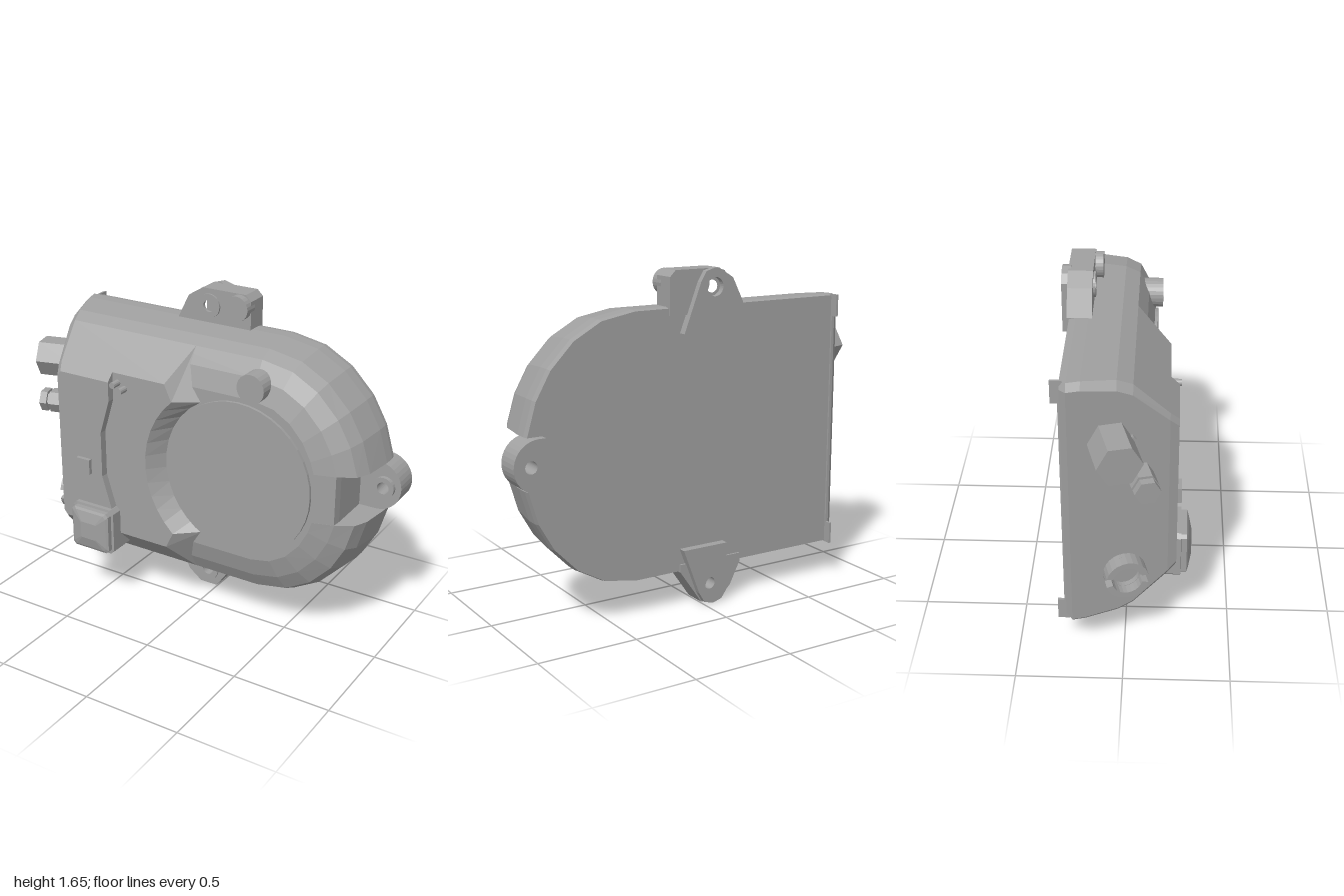
import * as THREE from 'three';

const grey = new THREE.MeshStandardMaterial({ color: 0xa0a0a0, flatShading: true });
grey.name = 'grey casting';
const CY = 0.83; // height of the horizontal axis of symmetry

// Skin stacked loops (listed clockwise seen from +z, back to front) and cap both ends
function loft(loops) {
  const n = loops[0].length, pos = [], idx = [];
  loops.forEach(l => l.forEach(p => pos.push(...p)));
  for (let k = 0; k < loops.length - 1; k++) {
    for (let i = 0; i < n; i++) {
      const a = k * n + i, b = k * n + (i + 1) % n;
      idx.push(a, a + n, b + n, a, b + n, b);
    }
  }
  [[0, -1], [loops.length - 1, 1]].forEach(([k, dir]) => {
    const pts = loops[k].map(p => new THREE.Vector2(p[0], p[1]));
    THREE.ShapeUtils.triangulateShape(pts, []).forEach(([a, b, c]) => {
      const area = (pts[b].x - pts[a].x) * (pts[c].y - pts[a].y) - (pts[b].y - pts[a].y) * (pts[c].x - pts[a].x);
      const t = area * dir > 0 ? [a, b, c] : [a, c, b];
      idx.push(...t.map(i => i + k * n));
    });
  });
  const g = new THREE.BufferGeometry();
  g.setAttribute('position', new THREE.Float32BufferAttribute(pos, 3));
  g.setIndex(idx);
  const flat = g.toNonIndexed();
  flat.computeVertexNormals();
  return flat;
}

// Adds the lower half of a loop by mirroring its upper half about the axis
const mirrorLoop = half => [...half, ...half.slice().reverse().map(([x, y, z]) => [x, 2 * CY - y, z])];

// D-shaped outline: straight left end, elliptic right end with a notch at the tip
function dLoop(z, inset, left, chamfer, notch) {
  const a = 0.57 - inset, b = 0.65 - inset;
  const half = [[left, CY + b - chamfer, z], [left + chamfer, CY + b, z]];
  [90, 72, 56, 40, 26].forEach(d => {
    const t = THREE.MathUtils.degToRad(d);
    half.push([0.36 + a * Math.cos(t), CY + b * Math.sin(t), z]);
  });
  const tip = 0.36 + a * Math.cos(Math.asin(0.125 / b));
  half.push([tip, CY + 0.125, z], [Math.min(notch, tip - 0.002), CY + 0.125, z]);
  return mirrorLoop(half);
}

function extrude(points, z0, z1, holes = []) {
  const s = new THREE.Shape(points.map(p => new THREE.Vector2(...p)));
  holes.forEach(([x, y, r]) => s.holes.push(new THREE.Path().absarc(x, y, r, 0, Math.PI * 2, true)));
  return new THREE.ExtrudeGeometry(s, { depth: z1 - z0, bevelEnabled: false, curveSegments: 16 }).translate(0, 0, z0);
}

const circle = (x, y, r, n = 24, from = 0, to = Math.PI * 2) => Array.from({ length: n + 1 }, (_, i) => {
  const t = from + (to - from) * i / n;
  return [x + r * Math.cos(t), y + r * Math.sin(t)];
});

// Cylinder along z between two depths
const rod = (x, y, r, z0, z1, n = 24) =>
  new THREE.CylinderGeometry(r, r, z1 - z0, n).rotateY(n === 6 ? Math.PI / 6 : 0).rotateX(Math.PI / 2).translate(x, y, (z0 + z1) / 2);

const box = (x0, x1, y0, y1, z0, z1) =>
  new THREE.BoxGeometry(x1 - x0, y1 - y0, z1 - z0).translate((x0 + x1) / 2, (y0 + y1) / 2, (z0 + z1) / 2);

export function createModel() {
  const model = new THREE.Group();
  const add = (name, geometry, parent = model) => {
    const m = new THREE.Mesh(geometry, grey);
    m.name = name;
    parent.add(m);
    return m;
  };

  // Housing: back slab, side wall with pocket, shallow dome on the round end
  add('backSlab', loft([dLoop(-0.27, 0.006, -0.8, 0.03, 0.84), dLoop(-0.24, 0, -0.835, 0.03, 0.84), dLoop(-0.18, 0, -0.818, 0.03, 0.84)]));
  add('sideWall', loft([dLoop(-0.18, 0, -0.818, 0.03, 0.79), dLoop(-0.03, 0.018, -0.775, 0.035, 0.79), dLoop(0.04, 0.05, -0.755, 0.035, 0.79)]));
  add('roundEndDome', loft([dLoop(0.03, 0.05, -0.3, 0.01, 0.79), dLoop(0.04, 0.05, -0.3, 0.01, 0.79),
    dLoop(0.085, 0.13, -0.3, 0.01, 0.79), dLoop(0.115, 0.23, -0.3, 0.01, 0.79)]));

  // Raised block with sloping sides and a round bite for the cover
  const blockLoop = (corner, r, degrees, zArc) => {
    const arc = Array.from({ length: 6 }, (_, i) => {
      const t = THREE.MathUtils.degToRad(degrees + (180 - degrees) * i / 5.5);
      return [0.28 + r * Math.cos(t), CY + r * Math.sin(t), zArc];
    });
    return mirrorLoop([...corner, ...arc]);
  };
  add('raisedBlock', loft([
    blockLoop([[-0.755, 1.395, 0.04], [-0.72, 1.43, 0.04], [0, 1.43, 0.04]], 0.405, 120, 0.11),
    blockLoop([[-0.71, 1.245, 0.2], [-0.69, 1.27, 0.2], [-0.08, 1.27, 0.2]], 0.478, 132, 0.2)]));

  // Upper plate with a waisted edge
  const plateLoop = (z, left, top) => mirrorLoop([[left, top - 0.025, z], [left + 0.02, top, z],
    [-0.38, top, z], [-0.38, 1.13, z], [-0.435, 0.95, z]]);
  add('upperPlate', loft([plateLoop(0.2, -0.71, 1.27), plateLoop(0.24, -0.69, 1.23)]));

  // Round cover, peg and small details on the front
  add('roundCover', rod(0.28, CY, 0.397, 0.08, 0.13, 40));
  add('frontPeg', rod(0.363, 1.32, 0.072, 0.03, 0.155));
  add('smallSquare', box(-0.58, -0.5, 0.71, 0.79, 0.23, 0.26));
  [[-0.35, 1.222], [-0.31, 1.198]].forEach(([x, y]) => add('smallPin', rod(x, y, 0.016, 0.19, 0.25, 12)));

  // Square button with a low pyramid top
  const squareLoop = (h, c, z) => {
    const x = -0.485, y = 0.415, k = h - c;
    return [[-h, k], [-k, h], [k, h], [h, k], [h, -k], [k, -h], [-k, -h], [-h, -k]].map(p => [x + p[0], y + p[1], z]);
  };
  add('squareButton', loft([squareLoop(0.125, 0.02, 0.06), squareLoop(0.125, 0.02, 0.262), squareLoop(0.112, 0.015, 0.264),
    squareLoop(0.112, 0.015, 0.29), squareLoop(0.1, 0.015, 0.297), squareLoop(0.045, 0.004, 0.312)]));

  // Top and bottom mounting ears
  const topEar = [[-0.23, 1.48], [-0.17, 1.6], [-0.09, 1.65], [0.15, 1.65], [0.18, 1.62], [0.18, 1.44], [-0.23, 1.44]];
  const bottomEar = [[-0.23, 0.18], [-0.17, 0.06], [-0.1, 0.006], [0, 0.006], [0.03, 0.05], [0.12, 0.18], [0.12, 0.22], [-0.23, 0.22]];
  const backPad = [[-0.13, 1.355], [0.12, 1.355], [0.03, 1.59], [0, 1.64], [-0.05, 1.655], [-0.1, 1.64], [-0.13, 1.6]];
  [['top', topEar, 1.565, 1], ['bottom', bottomEar, 0.095, -1]].forEach(([side, outline, y, dir]) => {
    add(side + 'Ear', extrude(outline, -0.28, -0.165, [[-0.05, y, 0.03]]));
    add(side + 'EarPad', extrude(dir > 0 ? backPad : backPad.map(p => [p[0], 1.655 - p[1]]), -0.31, -0.268, [[-0.05, y, 0.045]]));
    add(side + 'EarBoss', extrude(circle(-0.05, y, 0.06), -0.17, -0.155, [[-0.05, y, 0.03]]));
  });
  add('topEarPeg', rod(0.12, 1.585, 0.062, -0.2, -0.127));

  // Mounting lug on the round end
  add('endLug', extrude([[0.84, CY - 0.125], ...circle(0.875, CY, 0.125, 18, -Math.PI / 2, Math.PI / 2), [0.84, CY + 0.125]],
    -0.31, -0.18, [[0.915, CY, 0.03]]));
  add('endLugBoss', extrude(circle(0.915, CY, 0.055), -0.185, -0.158, [[0.915, CY, 0.03]]));

  // Rib and corner clips along the straight back edge
  add('backRib', box(-0.79, -0.778, 0.19, 1.47, -0.279, -0.265));
  [[0.18, 0.29], [1.37, 1.48]].forEach(([y0, y1]) => add('cornerClip', box(-0.79, -0.778, y0, y1, -0.31, -0.255)));

  // Fittings on the slanted end; local +z points out of the wall
  const fitting = (name, x, y, z) => {
    const g = new THREE.Group();
    g.name = name;
    g.position.set(x, y, z);
    g.rotation.y = Math.atan2(-0.967, 0.255);
    model.add(g);
    return g;
  };
  const large = fitting('largeHexFitting', -0.775, 1.18, -0.06);
  add('largeHex', rod(0, 0, 0.102, 0, 0.207, 6), large);
  add('largeHexCollar', rod(0.08, -0.015, 0.04, -0.06, 0.03, 12), large);
  const small = fitting('smallHexFitting', -0.745, 0.99, 0.07);
  add('smallHex', rod(0, 0, 0.062, -0.03, 0.105, 6), small);
  add('smallHexNeck', rod(0, 0, 0.045, 0.1, 0.122, 6), small);
  add('smallHexTip', rod(0, 0, 0.06, 0.118, 0.155, 6), small);
  const ring = fitting('splitRing', -0.767, 0.455, 0);
  [0, Math.PI].forEach(a => {
    const outer = circle(0, 0, 0.1, 10, a + 0.25, a + Math.PI - 0.25);
    const inner = circle(0, 0, 0.07, 10, a + Math.PI - 0.25, a + 0.25);
    add('ringHalf', extrude([...outer, ...inner], -0.03, 0.075), ring);
  });
  add('ringSeat', extrude(circle(0, 0, 0.1), -0.03, 0.025, [[0, 0, 0.068]]), ring);
  add('lowerPin', rod(0, -0.115, 0.025, -0.03, 0.02, 12), ring);

  return model;
}
